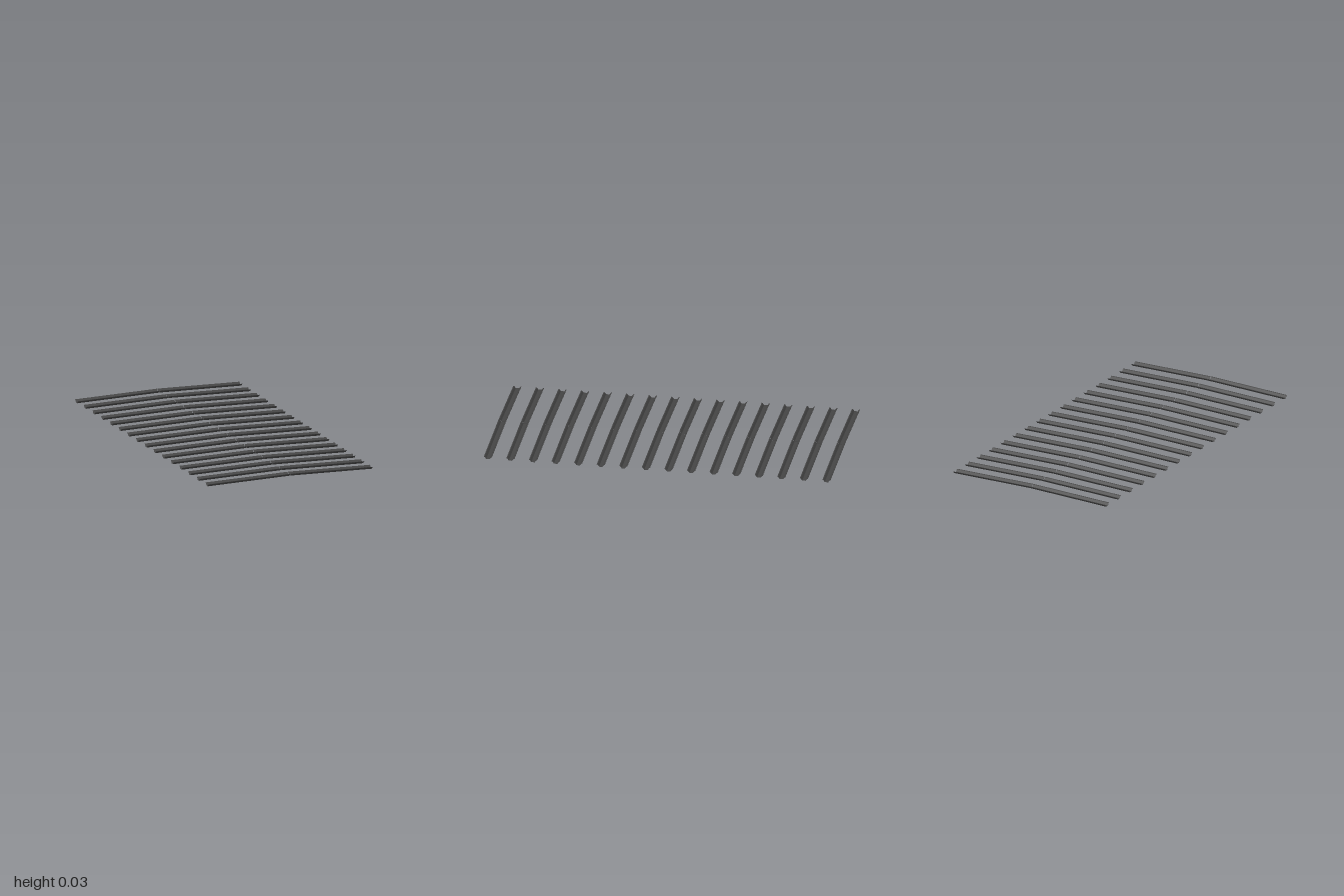
import * as THREE from 'three';

const ROWS = 16, PITCH = 0.1302, INNER = 0.002, OUTER = 0.505, RISE = 0.011;

// Open channel section (z, y): small lips, sloping walls, flat floor
function channelShape() {
  const half = [[0.0235, 0.015], [0.0185, 0.013], [0.0095, 0.0015]];
  const upper = [...half.map(([z, y]) => [-z, y]), ...half.slice().reverse()];
  const lower = upper.map(([z, y]) => [z, y - 0.0015]).reverse();
  return new THREE.Shape([...upper, ...lower].map(([z, y]) => new THREE.Vector2(z, y)));
}

// One half-length channel, running from the ridge down to the outer end
function channelGeometry(side) {
  const length = OUTER - INNER;
  const geo = new THREE.ExtrudeGeometry(channelShape(), { depth: length, bevelEnabled: false });
  geo.rotateY(Math.PI / 2);
  geo.translate(side > 0 ? INNER : -OUTER, 0, 0);
  const p = geo.attributes.position;
  for (let i = 0; i < p.count; i++) {
    p.setY(i, p.getY(i) + RISE * (1 - Math.abs(p.getX(i)) / OUTER));
  }
  geo.computeVertexNormals();
  return geo;
}

export function createModel() {
  const model = new THREE.Group();
  model.name = 'channelRows';
  const material = new THREE.MeshStandardMaterial({ color: 0x444444, flatShading: true, side: THREE.DoubleSide });
  const left = channelGeometry(1), right = channelGeometry(-1);

  // Evenly spaced rows, each a pair meeting at the ridge
  for (let i = 0; i < ROWS; i++) {
    const row = new THREE.Group();
    row.name = `channelRow${i + 1}`;
    row.position.z = (i - (ROWS - 1) / 2) * PITCH;
    const a = new THREE.Mesh(left, material);
    a.name = 'leftChannel';
    const b = new THREE.Mesh(right, material);
    b.name = 'rightChannel';
    row.add(a, b);
    model.add(row);
  }
  return model;
}
